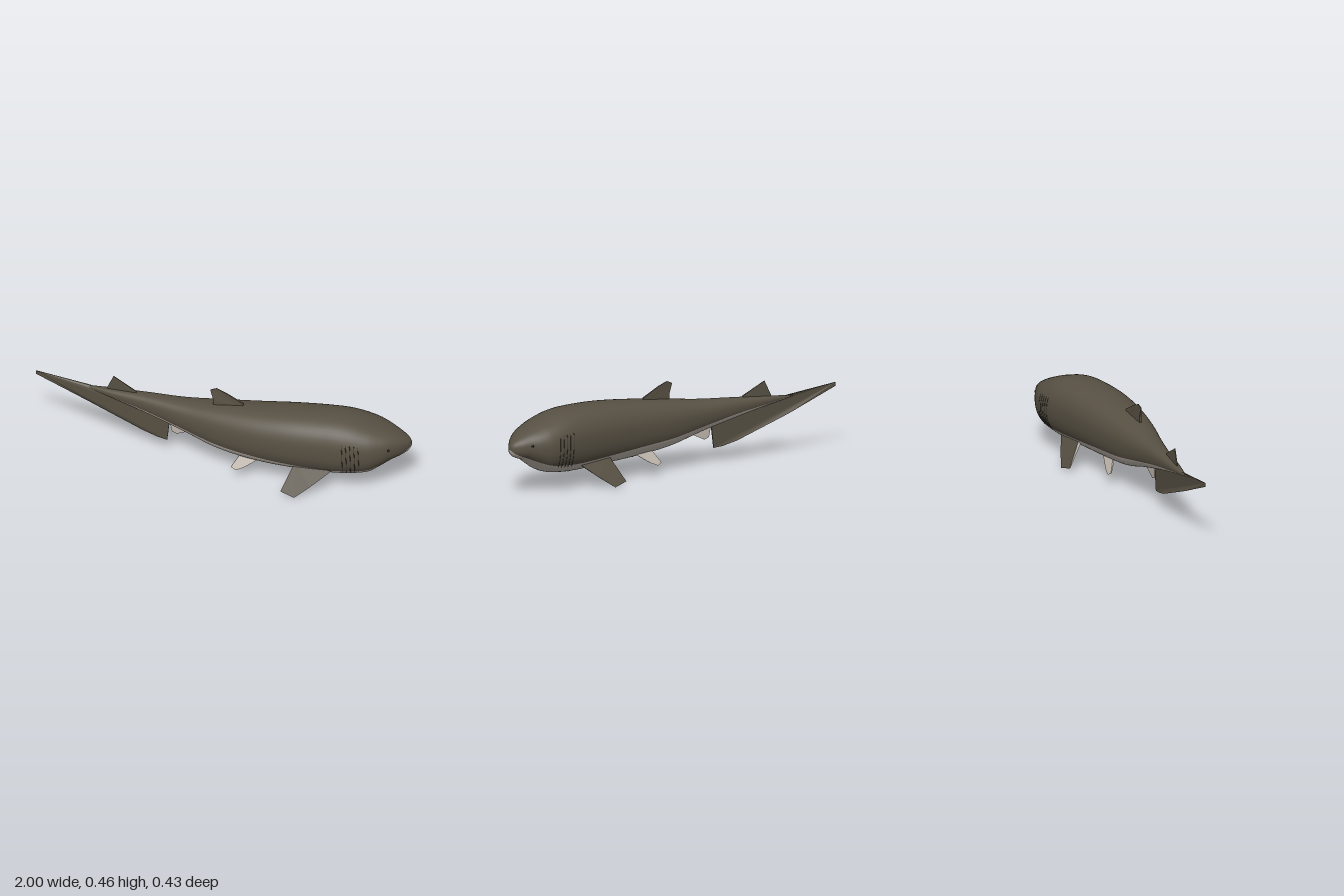
import * as THREE from 'three';

const mat = (name, color, extra = {}) => {
  const m = new THREE.MeshStandardMaterial({ color, ...extra });
  m.name = name;
  return m;
};

// Body stations, tail to nose: x, back, underside, colour line, right edge z, left edge z
const STATIONS = [
  [-0.74, 0.309, 0.302, 0.306, -0.096, -0.088],
  [-0.60, 0.320, 0.275, 0.287, -0.100, -0.050],
  [-0.40, 0.334, 0.230, 0.258, -0.101, -0.005],
  [-0.20, 0.346, 0.180, 0.220, -0.104, 0.050],
  [0.00, 0.370, 0.125, 0.186, -0.120, 0.108],
  [0.20, 0.391, 0.101, 0.170, -0.137, 0.148],
  [0.40, 0.408, 0.090, 0.155, -0.157, 0.163],
  [0.60, 0.411, 0.084, 0.142, -0.177, 0.154],
  [0.70, 0.401, 0.089, 0.145, -0.185, 0.143],
  [0.80, 0.373, 0.108, 0.156, -0.183, 0.122],
  [0.86, 0.350, 0.146, 0.175, -0.163, 0.092],
  [0.91, 0.328, 0.180, 0.197, -0.135, 0.055],
  [0.95, 0.306, 0.196, 0.213, -0.115, 0.015],
  [0.98, 0.285, 0.212, 0.227, -0.094, -0.024],
  [0.994, 0.268, 0.230, 0.240, -0.078, -0.047],
  [1.00, 0.250, 0.248, 0.249, -0.064, -0.062],
];
const POWER = 2.4; // squareness of the cross-section

// Smooth interpolation of the stations at any x
function stationAt(x) {
  const S = STATIONS, last = S.length - 1;
  let i = 0;
  while (i < last - 1 && x > S[i + 1][0]) i++;
  const d = S[i + 1][0] - S[i][0], t = (x - S[i][0]) / d;
  const slope = (k, c) => {
    const a = S[Math.max(k - 1, 0)], b = S[Math.min(k + 1, last)];
    return (b[c] - a[c]) / (b[0] - a[0]);
  };
  const v = (c) => {
    const p = S[i][c], q = S[i + 1][c], m = slope(i, c) * d, n = slope(i + 1, c) * d;
    return p + t * (m + t * (3 * (q - p) - 2 * m - n + t * (2 * (p - q) + m + n)));
  };
  const top = v(1), bottom = v(2), right = v(4), left = v(5);
  return {
    x, line: v(3), y: (top + bottom) / 2, z: (left + right) / 2,
    h: Math.max((top - bottom) / 2, 0.001), w: Math.max((left - right) / 2, 0.001),
  };
}

const bend = (v, p) => Math.sign(v) * Math.abs(v) ** p;
function surfacePoint(s, angle) {
  return new THREE.Vector3(s.x,
    s.y + s.h * bend(Math.sin(angle), 2 / POWER),
    s.z + s.w * bend(Math.cos(angle), 2 / POWER));
}

// Lofted body whose rings share a corner with the colour line
function bodyGeometry() {
  const UP = 36, LOW = 20, N = UP + LOW, xs = [];
  for (let i = 0; i < STATIONS.length - 1; i++)
    for (let k = 0; k < 5; k++)
      xs.push(THREE.MathUtils.lerp(STATIONS[i][0], STATIONS[i + 1][0], k / 5));
  xs.push(1);
  const pos = [], upper = [], lower = [];
  xs.forEach((x, i) => {
    const s = stationAt(x);
    const level = THREE.MathUtils.clamp((s.line - s.y) / s.h, -0.95, 0.95);
    const a = Math.asin(bend(level, POWER / 2));
    for (let j = 0; j < N; j++) {
      const angle = j < UP
        ? a + (Math.PI - 2 * a) * j / UP
        : Math.PI - a + (Math.PI + 2 * a) * (j - UP) / LOW;
      pos.push(...surfacePoint(s, angle).toArray());
      if (i === xs.length - 1) continue;
      const p = i * N + j, q = i * N + (j + 1) % N;
      (j < UP ? upper : lower).push(p, p + N, q + N, p, q + N, q);
    }
  });
  const g = new THREE.BufferGeometry();
  g.setAttribute('position', new THREE.Float32BufferAttribute(pos, 3));
  g.setIndex([...upper, ...lower]);
  g.addGroup(0, upper.length, 0);
  g.addGroup(upper.length, lower.length, 1);
  g.computeVertexNormals();
  return g;
}

// Tapered fin from a convex outline of [x, y, z, thickness]; groups: left face and rim, right face
function finGeometry(outline) {
  const area = outline.reduce((sum, p, i) => {
    const q = outline[(i + 1) % outline.length];
    return sum + p[0] * q[1] - q[0] * p[1];
  }, 0);
  const pts = area < 0 ? [...outline].reverse() : outline;
  const L = pts.map(([x, y, z, t]) => [x, y, z + t / 2]);
  const R = pts.map(([x, y, z, t]) => [x, y, z - t / 2]);
  const left = [], right = [], n = pts.length;
  for (let i = 1; i < n - 1; i++) {
    left.push(...L[0], ...L[i], ...L[i + 1]);
    right.push(...R[0], ...R[i + 1], ...R[i]);
  }
  for (let i = 0; i < n; i++) {
    const k = (i + 1) % n;
    left.push(...L[i], ...R[i], ...R[k], ...L[i], ...R[k], ...L[k]);
  }
  const g = new THREE.BufferGeometry();
  g.setAttribute('position', new THREE.Float32BufferAttribute([...left, ...right], 3));
  g.addGroup(0, left.length / 3, 0);
  g.addGroup(left.length / 3, right.length / 3, 1);
  g.computeVertexNormals();
  return g;
}

export function createModel() {
  const model = new THREE.Group();
  const back = mat('backBrown', 0x575043, { side: THREE.DoubleSide });
  const belly = mat('bellyPale', 0xc2b9af, { side: THREE.DoubleSide });
  const gillDark = mat('gillDark', 0x3d382e);
  const eyeDark = mat('eyeDark', 0x1e1b18);
  const add = (name, geometry, material) => {
    const mesh = new THREE.Mesh(geometry, material);
    mesh.name = name;
    model.add(mesh);
    return mesh;
  };

  add('body', bodyGeometry(), [back, belly]);

  // Fins on the centre line
  add('firstDorsalFin', finGeometry([
    [-0.035, 0.35, 0, 0.014], [-0.035, 0.395, -0.001, 0.012], [-0.052, 0.448, -0.004, 0.004],
    [-0.02, 0.462, -0.005, 0.003], [0.03, 0.442, -0.003, 0.006], [0.125, 0.392, 0, 0.01],
    [0.12, 0.36, 0, 0.012],
  ]), [back, back]);
  add('secondDorsalFin', finGeometry([
    [-0.615, 0.305, -0.078, 0.008], [-0.615, 0.325, -0.078, 0.007], [-0.58, 0.402, -0.072, 0.003],
    [-0.455, 0.336, -0.057, 0.007], [-0.455, 0.31, -0.057, 0.01],
  ]), [back, back]);
  add('analFin', finGeometry([
    [-0.275, 0.215, -0.032, 0.01], [-0.262, 0.14, -0.032, 0.004],
    [-0.235, 0.13, -0.03, 0.004], [-0.14, 0.175, -0.02, 0.008], [-0.15, 0.2, -0.02, 0.01],
  ]), [belly, belly]);

  // Tail fin follows the sideways curve of the body
  add('tailFin', finGeometry([
    [-1, 0.346, -0.106, 0.002], [-1, 0.326, -0.106, 0.002], [-0.72, 0.215, -0.09, 0.004],
    [-0.42, 0.105, -0.056, 0.004], [-0.34, 0.085, -0.044, 0.004], [-0.288, 0.08, -0.036, 0.004],
    [-0.274, 0.205, -0.034, 0.008], [-0.44, 0.265, -0.058, 0.008], [-0.7, 0.313, -0.09, 0.005],
  ]), [back, back]);

  // Paired fins, gills and eyes
  for (const side of [1, -1]) {
    const name = side > 0 ? 'left' : 'right';
    const skin = side > 0 ? [back, belly] : [belly, back];
    add(name + 'PectoralFin', finGeometry([
      [0.43, 0.165, side * 0.107, 0.02], [0.41, 0.12, side * 0.137, 0.016],
      [0.37, 0.025, side * 0.203, 0.004], [0.445, 0.005, side * 0.215, 0.003],
      [0.52, 0.06, side * 0.178, 0.01], [0.62, 0.14, side * 0.122, 0.016],
    ]), skin);
    add(name + 'PelvicFin', finGeometry([
      [0.13, 0.14, side * 0.07, 0.012], [0.085, 0.068, side * 0.108, 0.004],
      [0.112, 0.056, side * 0.115, 0.003], [0.155, 0.075, side * 0.104, 0.006],
      [0.235, 0.128, side * 0.076, 0.012],
    ]), [belly, belly]);

    for (let k = 0; k < 5; k++) {
      const points = [];
      for (let j = 0; j <= 12; j++) {
        const a = -0.72 + 1.1 * j / 12;
        const s = stationAt(0.675 + 0.021 * k + 0.006 * Math.sin(Math.PI * j / 12));
        points.push(surfacePoint(s, side > 0 ? a : Math.PI - a));
      }
      add(name + 'GillSlit', new THREE.TubeGeometry(
        new THREE.CatmullRomCurve3(points), 24, 0.0014, 5), gillDark);
    }

    const a = 0.13;
    const eye = add(name + 'Eye', new THREE.SphereGeometry(0.007, 14, 10), eyeDark);
    eye.position.copy(surfacePoint(stationAt(0.905), side > 0 ? a : Math.PI - a));
    eye.scale.z = 0.6;
  }
  return model;
}
